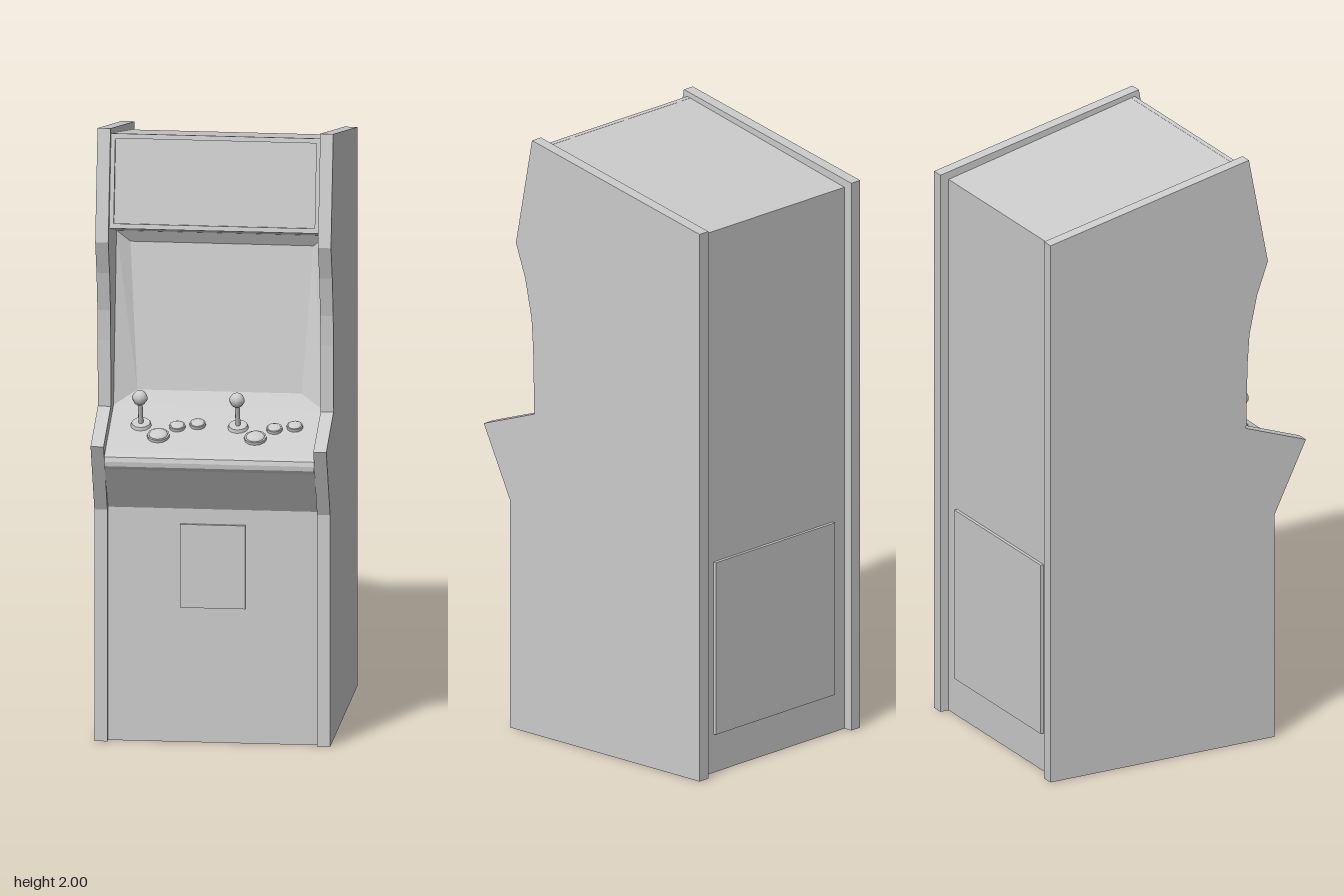
import * as THREE from 'three';

const grey = new THREE.MeshStandardMaterial({ color: 0xcccccc });
const thin = new THREE.MeshStandardMaterial({ color: 0xcccccc, side: THREE.DoubleSide });
const W = 0.338; // half width between the side panels

function add(parent, name, geometry, material = grey, x = 0, y = 0, z = 0) {
  const mesh = new THREE.Mesh(geometry, material);
  mesh.name = name;
  mesh.position.set(x, y, z);
  parent.add(mesh);
  return mesh;
}

// Flat-shaded four-cornered faces, corners counter-clockwise from outside
function quads(list) {
  const pos = [];
  for (const [a, b, c, d] of list) pos.push(...a, ...b, ...c, ...a, ...c, ...d);
  const g = new THREE.BufferGeometry();
  g.setAttribute('position', new THREE.Float32BufferAttribute(pos, 3));
  g.computeVertexNormals();
  return g;
}

// Sheet that sweeps a [z, y] profile across the cabinet
function sheet(profile) {
  return quads(profile.slice(1).map(([z, y], i) => {
    const [z0, y0] = profile[i];
    return [[-W, y0, z0], [-W, y, z], [W, y, z], [W, y0, z0]];
  }));
}

const rect = (Type, w, h) => new Type([
  new THREE.Vector2(-w, -h), new THREE.Vector2(w, -h), new THREE.Vector2(w, h), new THREE.Vector2(-w, h),
]);

const panelTilt = Math.atan(0.365);
const panelY = (z) => 1.065 - 0.365 * (z - 0.17);

// Group standing square on the sloping control panel
function onPanel(parent, name, x, z) {
  const g = new THREE.Group();
  g.name = name;
  g.position.set(x, panelY(z), z);
  g.rotation.x = panelTilt;
  parent.add(g);
  return g;
}

function button(parent, name, x, z, r) {
  const g = onPanel(parent, name, x, z);
  add(g, 'buttonRim', new THREE.CylinderGeometry(r, r, 0.012, 12), grey, 0, 0.004, 0);
  const cap = add(g, 'buttonCap', new THREE.SphereGeometry(r * 0.85, 12, 4, 0, Math.PI * 2, 0, Math.PI / 2), grey, 0, 0.01, 0);
  cap.scale.y = 0.3;
}

export function createModel() {
  const model = new THREE.Group();
  model.name = 'arcadeCabinet';

  // Side panels
  const outline = [
    [0.355, 0], [0.355, 0.765], [0.47, 1], [0.25, 1.08], [0.255, 1.3], [0.262, 1.4],
    [0.29, 1.53], [0.33, 1.64], [0.26, 2], [-0.47, 1.845], [-0.47, 0],
  ].map(([z, y]) => new THREE.Vector2(z, y));
  const side = new THREE.ExtrudeGeometry(new THREE.Shape(outline), { depth: 0.042, bevelEnabled: false });
  side.rotateY(-Math.PI / 2);
  add(model, 'leftSidePanel', side, grey, 0.38);
  add(model, 'rightSidePanel', side, grey, -W);

  // Body shell, open underneath
  add(model, 'marqueeUnderside', sheet([[0.3, 1.68], [0.08, 1.62]]), thin);
  add(model, 'controlPanel', sheet([
    [0.17, 1.065], [0.43, 0.97], [0.442, 0.96], [0.446, 0.945], [0.444, 0.93], [0.435, 0.918],
  ]), thin);
  add(model, 'frontPanel', sheet([[0.435, 0.918], [0.335, 0.77], [0.335, 0]]), thin);
  add(model, 'backAndRoof', sheet([[-0.44, 0], [-0.44, 1.825], [0.245, 1.98]]), thin);

  // Sloped bezel around the recessed screen
  const outer = [[-W, 1.065, 0.17], [W, 1.065, 0.17], [W, 1.62, 0.08], [-W, 1.62, 0.08]];
  const inner = [[-0.265, 1.11, 0.135], [0.265, 1.11, 0.135], [0.295, 1.58, 0.06], [-0.295, 1.58, 0.06]];
  add(model, 'screenBezel', quads(outer.map((p, i) => {
    const j = (i + 1) % 4;
    return [p, outer[j], inner[j], inner[i]];
  })), thin);
  add(model, 'screen', quads([inner]), thin);

  // Marquee: thin frame around a recessed sign
  const marquee = new THREE.Group();
  marquee.name = 'marquee';
  marquee.position.set(0, 1.83, 0.2725);
  marquee.rotation.x = -Math.atan(0.055 / 0.3);
  const frame = rect(THREE.Shape, W, 0.1525);
  frame.holes.push(rect(THREE.Path, 0.324, 0.137));
  add(marquee, 'marqueeFrame', new THREE.ExtrudeGeometry(frame, { depth: 0.014, bevelEnabled: false }), grey, 0, 0, -0.014);
  add(marquee, 'marqueeSign', new THREE.PlaneGeometry(0.66, 0.29), thin, 0, 0, -0.0135);
  model.add(marquee);

  // Two sets of player controls
  for (const x of [-0.238, 0.075]) {
    const stick = onPanel(model, 'joystick', x, 0.275);
    add(stick, 'joystickBase', new THREE.CylinderGeometry(0.03, 0.034, 0.012, 12), grey, 0, 0.005, 0);
    add(stick, 'joystickShaft', new THREE.CylinderGeometry(0.008, 0.008, 0.1, 8), grey, 0, 0.05, 0);
    add(stick, 'joystickBall', new THREE.SphereGeometry(0.025, 8, 8), grey, 0, 0.106, 0);
    button(model, 'largeButton', x + 0.062, 0.335, 0.036);
    button(model, 'smallButton', x + 0.118, 0.283, 0.026);
    button(model, 'smallButton', x + 0.182, 0.268, 0.026);
  }

  // Coin door and rear service door
  add(model, 'coinDoor', new THREE.BoxGeometry(0.21, 0.275, 0.02), grey, 0, 0.5825, 0.335);
  add(model, 'serviceDoor', new THREE.BoxGeometry(0.564, 0.58, 0.02), grey, 0, 0.42, -0.441);

  return model;
}
